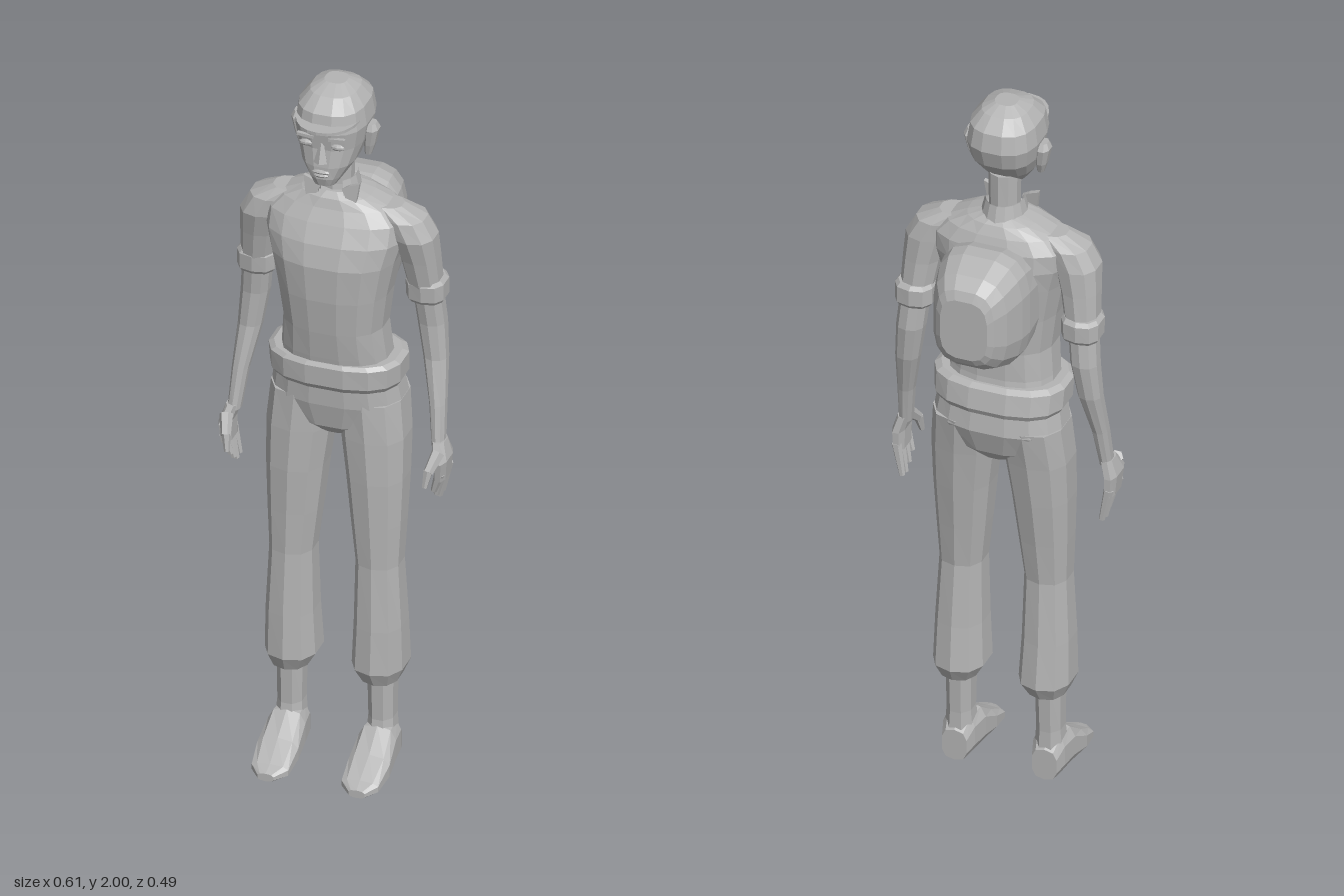
import * as THREE from 'three';

const grey = new THREE.MeshStandardMaterial({ color: 0xb4b4b4, flatShading: true });
grey.name = 'plain grey';

// Loft through rings [y, x0, x1, z0, z1]; p sets how square each section is, s mirrors x.
function loft(rings, n = 12, p = 2.4, s = 1) {
  const pos = [];
  const pow = (v) => Math.sign(v) * Math.pow(Math.abs(v), 2 / p);
  const pt = ([y, x0, x1, z0, z1], i) => {
    const a = ((i + 0.5) / n) * Math.PI * 2;
    return [s * (x0 + x1) / 2 + pow(Math.cos(a)) * (x1 - x0) / 2, y, (z0 + z1) / 2 + pow(Math.sin(a)) * (z1 - z0) / 2];
  };
  const mid = ([y, x0, x1, z0, z1]) => [s * (x0 + x1) / 2, y, (z0 + z1) / 2];
  const lo = rings[0], hi = rings[rings.length - 1];
  for (let i = 0; i < n; i++) {
    for (let j = 0; j + 1 < rings.length; j++) {
      const a = pt(rings[j], i), b = pt(rings[j + 1], i), c = pt(rings[j + 1], i + 1), d = pt(rings[j], i + 1);
      pos.push(...a, ...b, ...c, ...a, ...c, ...d);
    }
    pos.push(...mid(lo), ...pt(lo, i), ...pt(lo, i + 1));
    pos.push(...mid(hi), ...pt(hi, i + 1), ...pt(hi, i));
  }
  const g = new THREE.BufferGeometry();
  g.setAttribute('position', new THREE.Float32BufferAttribute(pos, 3));
  g.computeVertexNormals();
  return g;
}

// Symmetric ring about x = 0
const sym = (y, w, z0, z1) => [y, -w, w, z0, z1];

// Tapered rod between two points
function rod(a, b, r0, r1, sides = 6) {
  const A = new THREE.Vector3(...a), B = new THREE.Vector3(...b), d = B.clone().sub(A);
  const g = new THREE.CylinderGeometry(r1, r0, d.length(), sides);
  g.applyQuaternion(new THREE.Quaternion().setFromUnitVectors(new THREE.Vector3(0, 1, 0), d.normalize()));
  const m = A.add(B).multiplyScalar(0.5);
  return g.translate(m.x, m.y, m.z);
}

function plate(points, depth, s = 1) {
  const shape = new THREE.Shape(points.map(([x, y]) => new THREE.Vector2(x * s, y)));
  return new THREE.ExtrudeGeometry(shape, { depth, bevelEnabled: false });
}

export function createModel() {
  const model = new THREE.Group();
  const add = (name, geometry, parent = model) => {
    const m = new THREE.Mesh(geometry, grey);
    m.name = name;
    parent.add(m);
    return m;
  };

  // Head and neck
  const head = new THREE.Group();
  head.name = 'head';
  model.add(head);
  add('skull', loft([
    sym(1.742, 0.03, 0.09, 0.162), sym(1.765, 0.047, 0.03, 0.17), sym(1.8, 0.07, 0, 0.17),
    sym(1.85, 0.087, -0.045, 0.165), sym(1.9, 0.096, -0.06, 0.172), sym(1.95, 0.088, -0.05, 0.162),
    sym(1.983, 0.062, -0.015, 0.125), sym(2, 0.03, 0.02, 0.08),
  ], 16, 2.6), head);
  add('neck', loft([sym(1.62, 0.05, -0.02, 0.09), sym(1.7, 0.04, -0.01, 0.08), sym(1.8, 0.042, -0.01, 0.08)], 10, 2), head);
  const visor = new THREE.Shape();
  visor.moveTo(-0.085, 0.11);
  visor.quadraticCurveTo(-0.07, 0.205, 0, 0.205);
  visor.quadraticCurveTo(0.07, 0.205, 0.085, 0.11);
  add('visor', new THREE.ExtrudeGeometry(visor, { depth: 0.008, bevelEnabled: false, curveSegments: 5 })
    .rotateX(Math.PI / 2).translate(0, 1.924, 0), head);
  add('nose', rod([0, 1.815, 0.168], [0, 1.87, 0.162], 0.019, 0.006, 5), head);
  for (const [y, w] of [[1.787, 0.024], [1.777, 0.02]]) {
    add('lip', new THREE.SphereGeometry(1, 8, 4).scale(w, 0.006, 0.008).translate(0, y, 0.169), head);
  }
  for (const s of [1, -1]) {
    add('eye', new THREE.SphereGeometry(1, 8, 5).scale(0.02, 0.009, 0.008).translate(s * 0.042, 1.864, 0.163), head);
    add('brow', new THREE.BoxGeometry(0.045, 0.008, 0.01).rotateZ(s * 0.08).translate(s * 0.042, 1.888, 0.167), head);
    add('ear', loft([[1.8, 0.08, 0.098, 0.05, 0.07], [1.83, 0.078, 0.108, 0.036, 0.078],
      [1.875, 0.08, 0.118, 0.028, 0.084], [1.892, 0.085, 0.11, 0.04, 0.075]], 8, 2.2, s), head);
  }

  // Shirt, collar and hem band
  add('shirt', loft([
    sym(1.14, 0.15, -0.075, 0.13), sym(1.22, 0.142, -0.06, 0.145), sym(1.3, 0.135, -0.058, 0.158),
    sym(1.4, 0.148, -0.065, 0.17), sym(1.5, 0.168, -0.075, 0.175), sym(1.56, 0.185, -0.077, 0.16),
    sym(1.61, 0.185, -0.07, 0.135), sym(1.645, 0.15, -0.055, 0.115), sym(1.67, 0.095, -0.04, 0.105),
    sym(1.685, 0.05, -0.02, 0.09),
  ], 16, 2.5));
  add('hemBand', loft([sym(1.125, 0.168, -0.09, 0.14), sym(1.14, 0.178, -0.097, 0.15),
    sym(1.195, 0.18, -0.085, 0.152), sym(1.205, 0.165, -0.07, 0.145)], 16, 2.6));
  const collar = add('collar', new THREE.CylinderGeometry(0.05, 0.062, 0.05, 12, 1, true, 0.6, Math.PI * 2 - 1.2)
    .scale(1, 1, 1.15).translate(0, 1.692, 0.036));
  collar.material = grey;
  add('collarLining', new THREE.CylinderGeometry(0.048, 0.056, 0.05, 12, 1, true, 0.6, Math.PI * 2 - 1.2)
    .scale(-1, 1, 1.15).translate(0, 1.692, 0.036)).geometry.index.array.reverse();

  // Backpack, lofted front to back
  add('backpack', loft([
    [0.04, -0.125, 0.125, 1.33, 1.62], [0.1, -0.125, 0.125, 1.31, 1.64], [0.14, -0.12, 0.12, 1.315, 1.638],
    [0.2, -0.102, 0.102, 1.34, 1.615], [0.235, -0.08, 0.08, 1.37, 1.59], [0.246, -0.065, 0.065, 1.39, 1.565],
  ], 16, 3.2).rotateX(-Math.PI / 2));

  // Hips
  add('hips', loft([
    sym(0.965, 0.05, -0.04, 0.08), sym(1.0, 0.13, -0.07, 0.115), sym(1.07, 0.178, -0.092, 0.13),
    sym(1.15, 0.165, -0.08, 0.135),
  ], 16, 2.5));

  for (const s of [1, -1]) {
    const side = new THREE.Group();
    side.name = s > 0 ? 'leftLimbs' : 'rightLimbs';
    model.add(side);

    // Collar wing
    add('collarWing', plate([[0.028, 1.7], [0.048, 1.712], [0.075, 1.722], [0.068, 1.67], [0.05, 1.655]], 0.012, s)
      .rotateX(-0.1).translate(0, 0.005, 0.25), side);

    // Sleeve with rolled cuff
    add('sleeve', loft([
      [1.39, 0.185, 0.27, -0.045, 0.05], [1.5, 0.165, 0.266, -0.037, 0.075], [1.57, 0.145, 0.262, -0.035, 0.095],
      [1.62, 0.12, 0.235, -0.027, 0.09], [1.65, 0.08, 0.175, -0.005, 0.07],
    ], 10, 2.3, s), side);
    add('cuff', loft([[1.37, 0.182, 0.274, -0.047, 0.047], [1.38, 0.175, 0.28, -0.054, 0.054],
      [1.425, 0.174, 0.28, -0.054, 0.058], [1.435, 0.18, 0.272, -0.045, 0.052]], 10, 2.6, s), side);

    // Forearm and hand
    add('forearm', loft([
      [0.97, 0.257, 0.292, 0.022, 0.075], [1.08, 0.243, 0.288, 0.0, 0.055], [1.2, 0.217, 0.282, -0.035, 0.032],
      [1.3, 0.2, 0.276, -0.048, 0.032], [1.4, 0.19, 0.268, -0.04, 0.045],
    ], 10, 2.2, s), side);
    add('palm', loft([[0.885, 0.272, 0.303, 0.008, 0.1], [0.94, 0.272, 0.308, 0.008, 0.108],
      [0.985, 0.26, 0.294, 0.018, 0.08]], 8, 2.6, s), side);
    [[0.088, 0.85], [0.066, 0.828], [0.043, 0.812], [0.02, 0.815]].forEach(([z, y]) => {
      add('finger', rod([s * 0.29, 0.905, z], [s * 0.273, y, z - 0.004], 0.0135, 0.008), side);
    });
    add('thumb', rod([s * 0.285, 0.965, 0.085], [s * 0.272, 0.925, 0.125], 0.018, 0.013), side);
    add('thumbTip', rod([s * 0.272, 0.93, 0.122], [s * 0.266, 0.885, 0.134], 0.013, 0.007), side);

    // Trouser leg
    add('trouserLeg', loft([
      [0.255, 0.07, 0.17, -0.025, 0.11], [0.295, 0.046, 0.188, -0.048, 0.13], [0.42, 0.052, 0.185, -0.035, 0.125],
      [0.6, 0.056, 0.176, -0.02, 0.115], [0.72, 0.042, 0.182, -0.033, 0.118], [0.85, 0.028, 0.187, -0.05, 0.122],
      [0.97, 0.012, 0.188, -0.065, 0.122], [1.08, 0.004, 0.178, -0.082, 0.12],
    ], 10, 2.4, s), side);

    // Ankle and foot (foot lofted from heel to toe)
    add('ankle', loft([[0.06, 0.08, 0.165, -0.003, 0.1], [0.14, 0.087, 0.158, 0, 0.088],
      [0.28, 0.084, 0.16, -0.006, 0.092]], 8, 2.2, s), side);
    add('foot', loft([
      [-0.003, 0.088, 0.158, -0.09, 0], [0.03, 0.078, 0.168, -0.125, 0], [0.085, 0.07, 0.174, -0.125, 0],
      [0.15, 0.066, 0.18, -0.075, 0], [0.215, 0.07, 0.172, -0.035, 0], [0.245, 0.1, 0.145, -0.022, 0],
    ], 10, 2.8, s).rotateX(Math.PI / 2), side);
  }
  return model;
}
